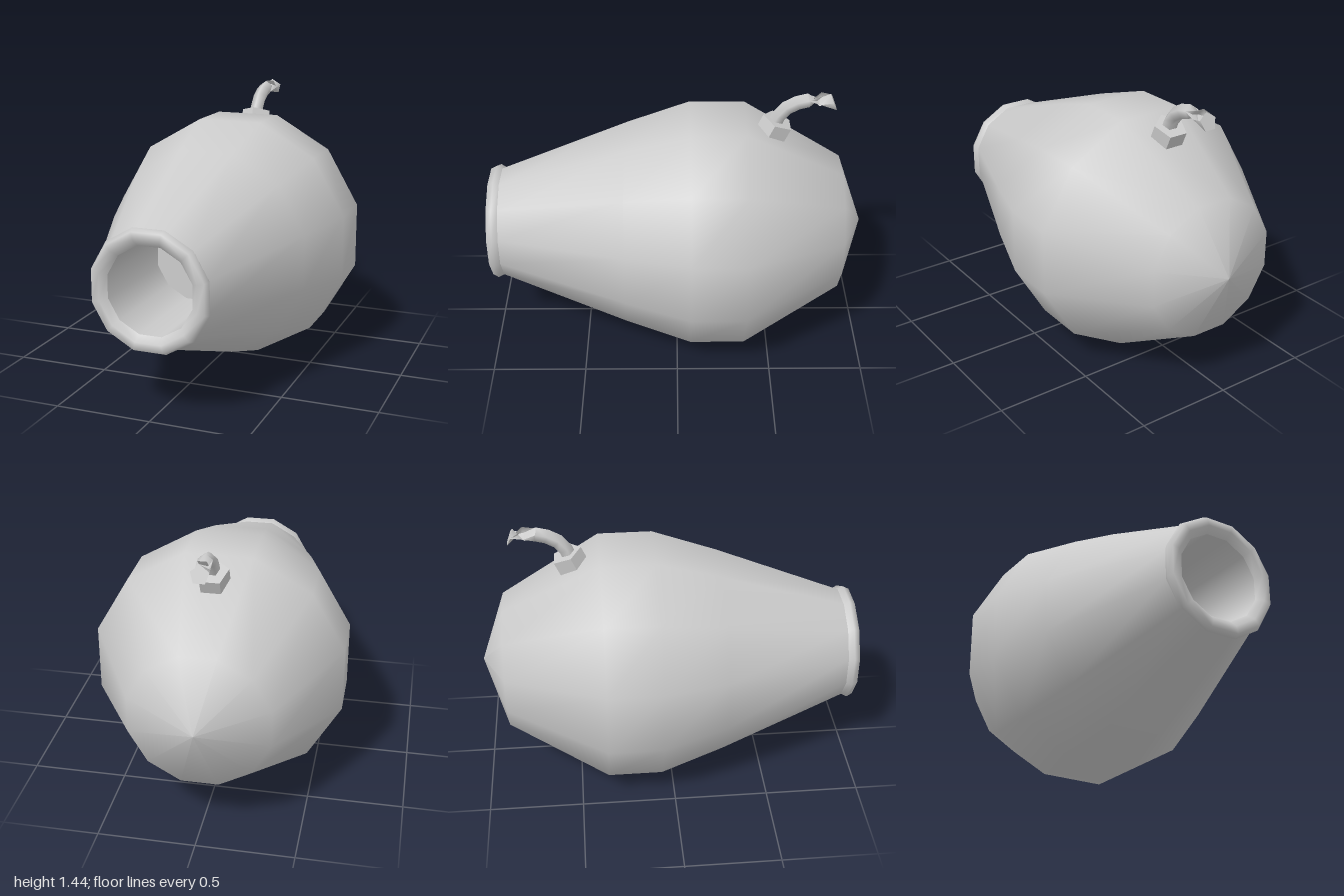
import * as THREE from 'three';
import { toCreasedNormals } from 'three/addons/utils/BufferGeometryUtils.js';

const SIDES = 12, AXIS_Y = 0.646;
const STEP = Math.PI / SIDES;
const CORNER = 1 / Math.cos(STEP); // flat-to-corner radius factor

const grey = (side = THREE.FrontSide) => new THREE.MeshStandardMaterial({ color: 0xcccccc, side });

function part(name, geometry, material = grey()) {
  const mesh = new THREE.Mesh(geometry, material);
  mesh.name = name;
  return mesh;
}

// Twelve-sided turned shape along z, from [flat radius, z] pairs
function turned(profile) {
  const points = profile.map(([r, z]) => new THREE.Vector2(r * CORNER, z));
  return new THREE.LatheGeometry(points, SIDES, STEP).rotateX(Math.PI / 2);
}

// Five-sided stem bent along a curve in the yz plane, with a slanted flared tip
function bentStem() {
  const curve = new THREE.CatmullRomCurve3([
    [1.25, -0.5], [1.335, -0.54], [1.385, -0.615], [1.402, -0.7], [1.39, -0.8],
  ].map(([y, z]) => new THREE.Vector3(0, y, z)));
  const geo = new THREE.CylinderGeometry(1, 1, 1, 5, 6);
  const pos = geo.attributes.position;
  const right = new THREE.Vector3(1, 0, 0);
  for (let i = 0; i < pos.count; i++) {
    const t = THREE.MathUtils.clamp(pos.getY(i) + 0.5, 0, 1);
    const tip = t > 0.99;
    const tangent = tip ? new THREE.Vector3(0, 0.38, -0.92) : curve.getTangent(t);
    const up = new THREE.Vector3().crossVectors(right, tangent).negate();
    if (up.z < 0) up.negate(); // outer side of the bend
    const r = tip ? 0.048 : 0.038;
    const p = curve.getPoint(t)
      .addScaledVector(right, pos.getX(i) * r)
      .addScaledVector(up, pos.getZ(i) * r);
    pos.setXYZ(i, p.x, p.y, p.z);
  }
  return toCreasedNormals(geo, 1.35);
}

export function createModel() {
  const group = new THREE.Group();

  // Hollow vessel lying on its side
  const vessel = new THREE.Group();
  vessel.name = 'vessel';
  vessel.position.y = AXIS_Y;
  vessel.add(part('body', turned([
    [0, -1], [0.355, -0.87], [0.645, -0.355], [0.645, -0.07], [0.535, 0.27], [0.288, 0.94],
  ])));
  vessel.add(part('mouthRim', turned([
    [0.288, 0.94], [0.303, 0.97], [0.288, 1], [0.25, 1], [0.218, 0.97],
  ])));
  vessel.add(part('mouthBore', turned([[0.218, 0.97], [0.218, 0.4]]), grey(THREE.DoubleSide)));
  const floor = part('boreFloor', new THREE.CircleGeometry(0.218 * CORNER, SIDES, STEP));
  floor.position.z = 0.4;
  vessel.add(floor);
  group.add(vessel);

  // Fuse collar and stem on the rear slope
  const collar = part('fuseCollar', toCreasedNormals(new THREE.CylinderGeometry(0.085, 0.085, 0.14, 5), 0.5));
  collar.position.set(0, 1.215, -0.494);
  collar.rotation.x = -0.42;
  group.add(collar);
  group.add(part('fuse', bentStem()));

  return group;
}
